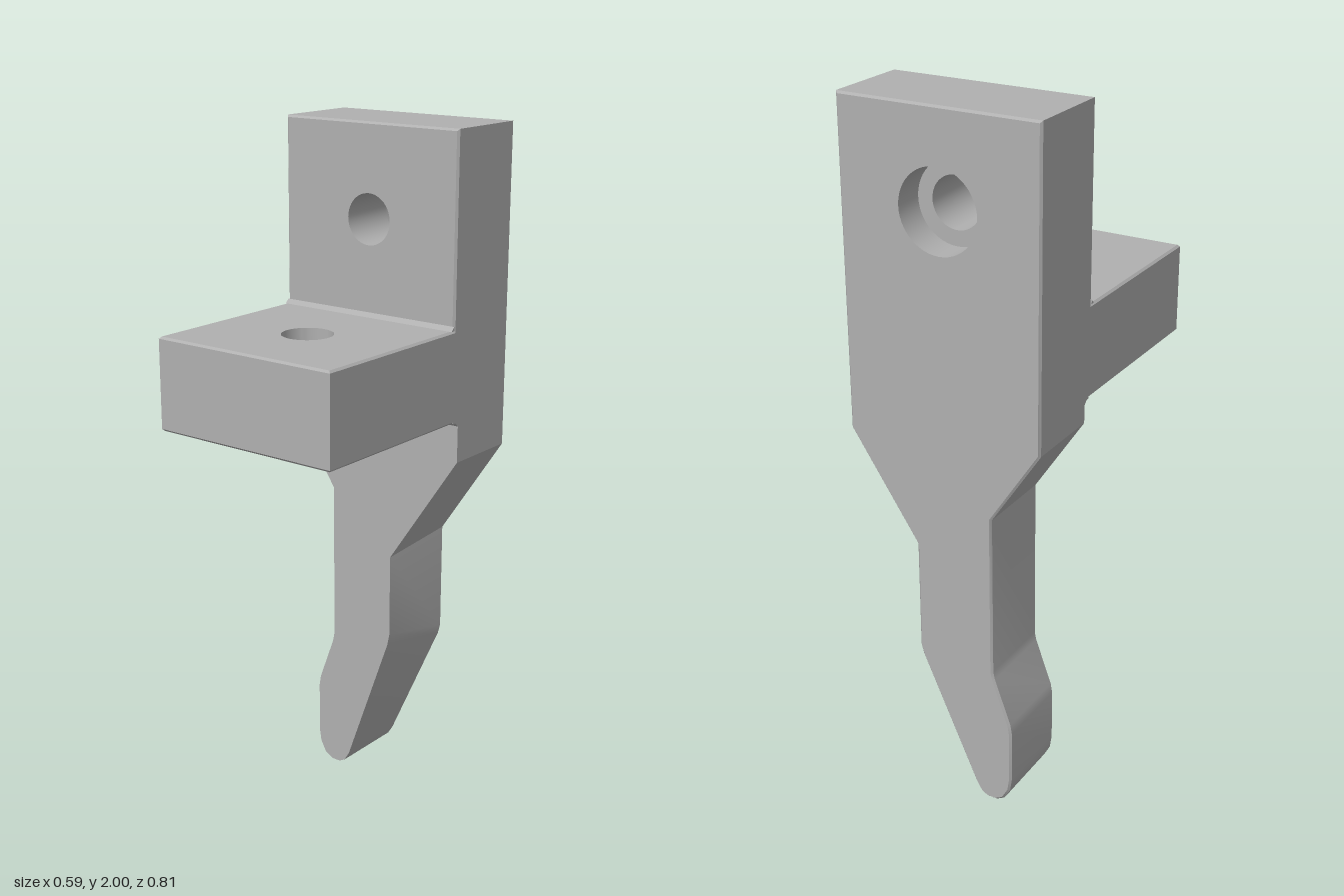
import * as THREE from 'three';
import { mergeGeometries, toCreasedNormals } from 'three/addons/utils/BufferGeometryUtils.js';

const W = 0.293, BACK = -0.403, FRONT = 0.403, BEVEL = 0.006;
const BORE = 0.072, COUNTERBORE = 0.115, SINK = 0.09;

// Shrinks a counter-clockwise outline by d with mitred corners
function inset(pts, d) {
  const n = pts.length;
  return pts.map(([x, y], i) => {
    const [px, py] = pts[(i + n - 1) % n], [qx, qy] = pts[(i + 1) % n];
    const a = new THREE.Vector2(py - y, x - px).normalize();
    const b = new THREE.Vector2(y - qy, qx - x).normalize();
    const k = d / (1 + a.dot(b));
    return [x + (a.x + b.x) * k, y + (a.y + b.y) * k];
  });
}

// Flat end face with an optional round hole
function cap(pts, z, hole, radius, flip) {
  const shape = new THREE.Shape(pts.map(p => new THREE.Vector2(...p)));
  if (hole) shape.holes.push(new THREE.Path().absarc(hole[0], hole[1], radius, 0, Math.PI * 2, true));
  const g = new THREE.ShapeGeometry(shape, 24).toNonIndexed();
  const p = g.attributes.position, out = [];
  for (let i = 0; i < p.count; i += 3) {
    for (const k of flip ? [0, 2, 1] : [0, 1, 2]) out.push(p.getX(i + k), p.getY(i + k), z);
  }
  return out;
}

// Skins matching outlines stacked along z: sections = [[outline, z], ...]
function loft(sections, hole, startRadius, endRadius) {
  const first = sections[0], last = sections[sections.length - 1];
  const pos = [...cap(...first, hole, startRadius, true), ...cap(...last, hole, endRadius, false)];
  for (let s = 0; s + 1 < sections.length; s++) {
    const [a, za] = sections[s], [b, zb] = sections[s + 1];
    for (let i = 0; i < a.length; i++) {
      const j = (i + 1) % a.length;
      pos.push(...a[i], za, ...a[j], za, ...b[j], zb, ...a[i], za, ...b[j], zb, ...b[i], zb);
    }
  }
  const g = new THREE.BufferGeometry();
  g.setAttribute('position', new THREE.Float32BufferAttribute(pos, 3));
  return toCreasedNormals(g, 0.5);
}

// Inward-facing wall of a stepped screw hole running along z
function screwHole([x, y], z0, z1) {
  const profile = [[BORE, z1], [BORE, z0 + SINK], [COUNTERBORE, z0 + SINK], [COUNTERBORE, z0]];
  const g = new THREE.LatheGeometry(profile.map(p => new THREE.Vector2(...p)), 48);
  g.rotateX(Math.PI / 2).translate(x, y, 0);
  g.deleteAttribute('uv');
  return toCreasedNormals(g, 0.5);
}

const rect = (x0, y0, x1, y1) => [[x0, y0], [x1, y0], [x1, y1], [x0, y1]];

// Plate and finger outline; t = 0 at the back, 1 at the front, where the finger narrows
function bladeOutline(t) {
  const mix = (a, b) => a + (b - a) * t;
  return [
    [-0.155, 0.001], [-0.125, 0.001], [-0.105, 0.012], [-0.088, 0.04],
    [mix(0.082, 0.058), mix(0.42, 0.455)], [mix(0.09, 0.065), mix(0.45, 0.49)],
    [mix(0.09, 0.065), mix(0.775, 0.74)],
    [W, 1.08], [W, 2], [-W, 2], [-W, 1.135],
    [-0.146, 0.912], [-0.146, 0.435], [-0.151, 0.41],
    [-0.2, 0.275], [-0.205, 0.245], [-0.205, 0.09], [-0.199, 0.05], [-0.18, 0.015],
  ];
}

export function createModel() {
  const group = new THREE.Group();
  const grey = new THREE.MeshStandardMaterial({ color: 0xb0b0b0 });
  grey.name = 'grey';
  const add = (name, geometry) => {
    const mesh = new THREE.Mesh(geometry, grey);
    mesh.name = name;
    group.add(mesh);
    return mesh;
  };

  const bladeFront = -0.165, plateFront = -0.136, shelfLow = 1.198, shelfTop = 1.462;

  // Back plate running down into the bent finger
  const plateHole = [0, 1.735];
  const back = bladeOutline(0);
  add('backPlateAndFinger', loft([
    [inset(back, BEVEL), BACK], [back, BACK + BEVEL], [bladeOutline(1), bladeFront],
  ], plateHole, COUNTERBORE, BORE));

  // Thicker upper part of the plate
  const upper = rect(-W, shelfLow, W, 2);
  add('upperPlate', loft([
    [upper, bladeFront], [upper, plateFront - BEVEL], [inset(upper, BEVEL), plateFront],
  ], plateHole, BORE, BORE));
  add('plateScrewHole', screwHole(plateHole, BACK, plateFront));

  // Shelf, lofted upward and rooted inside the plate
  const shelfHole = [0, -0.133];
  const shelf = rect(-W, -FRONT, W, 0.2);
  const shelfBody = loft([
    [inset(shelf, BEVEL), shelfLow], [shelf, shelfLow + BEVEL],
    [shelf, shelfTop - BEVEL], [inset(shelf, BEVEL), shelfTop],
  ], shelfHole, COUNTERBORE, BORE);
  add('shelf', shelfBody).rotation.x = -Math.PI / 2;
  add('shelfScrewHole', screwHole(shelfHole, shelfLow, shelfTop)).rotation.x = -Math.PI / 2;

  // Small fillets in the two inner corners
  const fillet = (z, y, dy) => {
    const tri = [[-z, y], [-z - 0.012, y], [-z, y + dy]].map(p => new THREE.Vector2(...p));
    const g = new THREE.ExtrudeGeometry(new THREE.Shape(tri), { depth: 2 * W, bevelEnabled: false });
    return g.translate(0, 0, -W).rotateY(Math.PI / 2);
  };
  add('innerFillets', mergeGeometries([
    fillet(plateFront, shelfTop, 0.012), fillet(bladeFront, shelfLow, -0.012),
  ]));
  return group;
}
